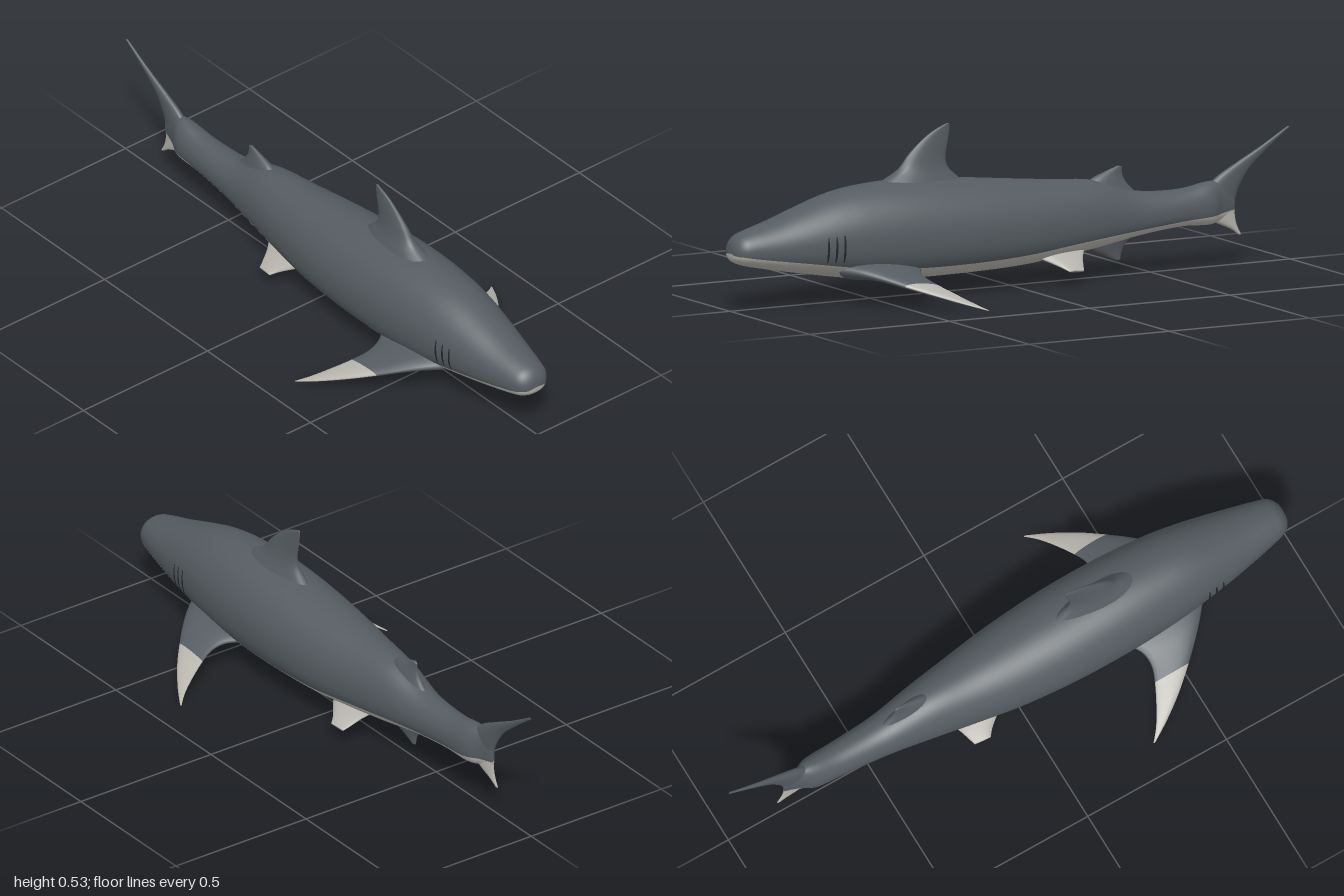
import * as THREE from 'three';

const mat = (name, color) => Object.assign(new THREE.MeshStandardMaterial({ color }), { name });

// Smoothly interpolates every column of a table at row position u
function sample(rows, u) {
  const n = rows.length - 1;
  const i = Math.min(n - 1, Math.floor(u)), t = u - i;
  const a = rows[Math.max(0, i - 1)], b = rows[i], c = rows[i + 1], d = rows[Math.min(n, i + 2)];
  return b.map((_, k) => {
    const m0 = (c[k] - a[k]) / 2, m1 = (d[k] - b[k]) / 2;
    const t2 = t * t, t3 = t2 * t;
    return (2 * t3 - 3 * t2 + 1) * b[k] + (t3 - 2 * t2 + t) * m0 + (3 * t2 - 2 * t3) * c[k] + (t3 - t2) * m1;
  });
}

// Skins closed rings of points; isPale(i, j) picks the second material
function skin(name, rings, isPale, materials) {
  const M = rings[0].length, N = rings.length;
  const pos = rings.flat(2);
  const groups = [[], []];
  for (let i = 0; i < N - 1; i++) {
    for (let j = 0; j < M; j++) {
      const a = i * M + j, b = i * M + (j + 1) % M, c = a + M, d = b + M;
      groups[isPale(i, j) ? 1 : 0].push(a, c, b, b, c, d);
    }
  }
  for (let j = 1; j < M - 1; j++) {
    groups[isPale(0, j) ? 1 : 0].push(0, j, j + 1);
    const e = (N - 1) * M;
    groups[isPale(N - 2, j) ? 1 : 0].push(e, e + j + 1, e + j);
  }
  const index = [...groups[0], ...groups[1]];
  // Turn the faces outward if the loft ran the other way round
  const P = (k) => new THREE.Vector3().fromArray(pos, k * 3);
  let volume = 0;
  for (let k = 0; k < index.length; k += 3) {
    volume += P(index[k]).dot(P(index[k + 1]).cross(P(index[k + 2])));
  }
  if (volume < 0) {
    for (let k = 0; k < index.length; k += 3) [index[k + 1], index[k + 2]] = [index[k + 2], index[k + 1]];
  }
  const geo = new THREE.BufferGeometry();
  geo.setAttribute('position', new THREE.Float32BufferAttribute(pos, 3));
  geo.setIndex(index);
  geo.addGroup(0, groups[0].length, 0);
  geo.addGroup(groups[0].length, groups[1].length, 1);
  geo.computeVertexNormals();
  const mesh = new THREE.Mesh(geo, materials);
  mesh.name = name;
  return mesh;
}

// Body stations, tail to nose: x, top, bottom, half width, height of colour edge
const BODY = [
  [-0.80, 0.25, 0.165, 0.006, 0.175],
  [-0.75, 0.268, 0.145, 0.022, 0.17],
  [-0.70, 0.27, 0.135, 0.045, 0.165],
  [-0.60, 0.255, 0.138, 0.053, 0.16],
  [-0.45, 0.262, 0.123, 0.065, 0.148],
  [-0.30, 0.308, 0.098, 0.088, 0.137],
  [-0.15, 0.322, 0.08, 0.112, 0.125],
  [0.00, 0.337, 0.066, 0.134, 0.112],
  [0.20, 0.357, 0.06, 0.149, 0.104],
  [0.40, 0.368, 0.06, 0.149, 0.105],
  [0.55, 0.36, 0.071, 0.14, 0.115],
  [0.65, 0.343, 0.085, 0.128, 0.128],
  [0.75, 0.312, 0.102, 0.112, 0.143],
  [0.85, 0.278, 0.12, 0.092, 0.157],
  [0.94, 0.252, 0.138, 0.071, 0.17],
  [0.975, 0.238, 0.148, 0.058, 0.176],
  [0.995, 0.214, 0.162, 0.034, 0.178],
  [1.00, 0.187, 0.183, 0.003, 0.184],
];
const BELLY = 0.8; // squareness of the lower half

const middle = ([, top, bottom]) => bottom + (top - bottom) * 0.46;

function bodyPoint(s, a, grow = 0) {
  const [x, top, bottom, half] = s, cy = middle(s);
  const p = Math.sin(a) < 0 ? BELLY : 1;
  const c = Math.cos(a), q = Math.abs(Math.sin(a)) ** p;
  return [
    x,
    Math.sin(a) < 0 ? cy - (cy - bottom) * q : cy + (top - cy) * q,
    Math.sign(c) * (half + grow) * Math.abs(c) ** p,
  ];
}

function makeBody(materials) {
  const UP = 36, LOW = 20, K = 5, rings = [];
  for (let i = 0; i <= (BODY.length - 1) * K; i++) {
    const s = sample(BODY, i / K), cy = middle(s);
    const drop = THREE.MathUtils.clamp((cy - s[4]) / (cy - s[2]), 0.02, 0.97);
    const edge = Math.asin(drop ** (1 / BELLY));
    const ring = [];
    for (let j = 0; j < UP; j++) ring.push(bodyPoint(s, -edge + (Math.PI + 2 * edge) * j / UP));
    for (let j = 0; j < LOW; j++) ring.push(bodyPoint(s, Math.PI + edge + (Math.PI - 2 * edge) * j / LOW));
    rings.push(ring);
  }
  return skin('body', rings, (i, j) => j >= UP, materials);
}

// Fin stations, root to tip: leading xyz, trailing xyz, half thickness
function makeFin(name, rows, normal, materials, { mirror = 1, paleFrom = Infinity, topOnly = false } = {}) {
  const M = 20, K = 5, rings = [];
  for (let i = 0; i <= (rows.length - 1) * K; i++) {
    const s = sample(rows, i / K), ring = [];
    for (let j = 0; j < M; j++) {
      const a = j / M * Math.PI * 2, t = (1 - Math.cos(a)) / 2;
      const h = s[6] * Math.sin(a) * (1.2 - 0.5 * t);
      const p = [0, 1, 2].map((k) => s[k] + (s[k + 3] - s[k]) * t + normal[k] * h);
      p[2] *= mirror;
      ring.push(p);
    }
    rings.push(ring);
  }
  return skin(name, rings, (i, j) => i >= paleFrom * K && (!topOnly || j < M / 2), materials);
}

// Upright fin rows from: leading x, y, trailing x, y, half thickness
const upright = (rows) => rows.map(([lx, ly, tx, ty, h]) => [lx, ly, 0, tx, ty, 0, h]);

const DORSAL = upright([
  [0.52, 0.33, 0.15, 0.33, 0.06], [0.455, 0.366, 0.19, 0.363, 0.042], [0.40, 0.398, 0.223, 0.395, 0.027],
  [0.365, 0.44, 0.23, 0.43, 0.017], [0.32, 0.48, 0.222, 0.475, 0.01], [0.275, 0.51, 0.217, 0.51, 0.006],
  [0.225, 0.531, 0.217, 0.528, 0.003],
]);
const REAR_DORSAL = upright([
  [-0.25, 0.28, -0.46, 0.25, 0.03], [-0.29, 0.312, -0.42, 0.285, 0.02],
  [-0.34, 0.332, -0.402, 0.315, 0.01], [-0.385, 0.347, -0.40, 0.342, 0.004],
]);
const ANAL = upright([
  [-0.24, 0.13, -0.46, 0.14, 0.025], [-0.29, 0.088, -0.42, 0.107, 0.015],
  [-0.335, 0.067, -0.40, 0.08, 0.009], [-0.378, 0.048, -0.393, 0.05, 0.004],
]);
const TAIL_UPPER = upright([
  [-0.67, 0.18, -0.80, 0.18, 0.017], [-0.68, 0.23, -0.81, 0.23, 0.018], [-0.735, 0.28, -0.838, 0.28, 0.014],
  [-0.80, 0.317, -0.868, 0.315, 0.01], [-0.895, 0.366, -0.925, 0.362, 0.006], [-0.99, 0.421, -1.0, 0.419, 0.003],
]);
const TAIL_LOWER = upright([
  [-0.67, 0.18, -0.80, 0.18, 0.017], [-0.73, 0.14, -0.804, 0.145, 0.012],
  [-0.785, 0.115, -0.812, 0.118, 0.007], [-0.815, 0.094, -0.825, 0.094, 0.003],
]);
const PECTORAL = [
  [0.66, 0.11, 0.09, 0.36, 0.10, 0.09, 0.035], [0.615, 0.105, 0.145, 0.40, 0.096, 0.145, 0.024],
  [0.568, 0.092, 0.195, 0.408, 0.084, 0.195, 0.016], [0.515, 0.073, 0.245, 0.392, 0.067, 0.245, 0.012],
  [0.445, 0.049, 0.305, 0.362, 0.044, 0.305, 0.009], [0.37, 0.024, 0.358, 0.33, 0.022, 0.358, 0.005],
  [0.305, 0.004, 0.396, 0.298, 0.003, 0.396, 0.002],
];
const PELVIC = [
  [-0.03, 0.105, 0.05, -0.24, 0.11, 0.05, 0.022], [-0.075, 0.085, 0.085, -0.215, 0.085, 0.08, 0.014],
  [-0.115, 0.065, 0.115, -0.20, 0.063, 0.11, 0.009], [-0.135, 0.052, 0.137, -0.19, 0.049, 0.132, 0.005],
];

// Thin curved strip lying on the flank
function makeGill(u, side, material) {
  const pos = [], index = [], steps = 8;
  for (let k = 0; k <= steps; k++) {
    const a = -0.45 + 0.65 * k / steps;
    const w = 0.003 * Math.sin(Math.PI * (k + 0.5) / (steps + 1)) + 0.001;
    const [x, y, z] = bodyPoint(sample(BODY, u), a, 0.002);
    pos.push(x - w, y, side * (z + 0.0005), x + w, y, side * z);
    if (k < steps) index.push(2 * k, 2 * k + 1, 2 * k + 2, 2 * k + 1, 2 * k + 3, 2 * k + 2);
  }
  const geo = new THREE.BufferGeometry();
  geo.setAttribute('position', new THREE.Float32BufferAttribute(pos, 3));
  geo.setIndex(index);
  geo.computeVertexNormals();
  const mesh = new THREE.Mesh(geo, material);
  mesh.name = 'gillSlit';
  return mesh;
}

export function createModel() {
  const grey = mat('slateGrey', 0x555c61);
  const pale = mat('paleBelly', 0xb6b4ac);
  const dark = mat('gillDark', 0x24282a);
  dark.side = THREE.DoubleSide;
  const skins = [grey, pale], Z = [0, 0, 1];

  const shark = new THREE.Group();
  shark.name = 'shark';
  shark.add(
    makeBody(skins),
    makeFin('dorsalFin', DORSAL, Z, skins),
    makeFin('rearDorsalFin', REAR_DORSAL, Z, skins),
    makeFin('analFin', ANAL, Z, skins),
    makeFin('tailUpperLobe', TAIL_UPPER, Z, skins),
    makeFin('tailLowerLobe', TAIL_LOWER, Z, skins, { paleFrom: 0 }),
  );
  // Paired fins and gills
  for (const [label, mirror] of [['front', 1], ['back', -1]]) {
    shark.add(
      makeFin(label + 'PectoralFin', PECTORAL, [0, 0.93, 0.36], skins, { mirror, paleFrom: 3, topOnly: true }),
      makeFin(label + 'PelvicFin', PELVIC, [0, 0.85, 0.5], skins, { mirror, paleFrom: 0, topOnly: true }),
    );
    for (const u of [11.1, 11.37, 11.64]) shark.add(makeGill(u, mirror, dark));
  }
  return shark;
}
